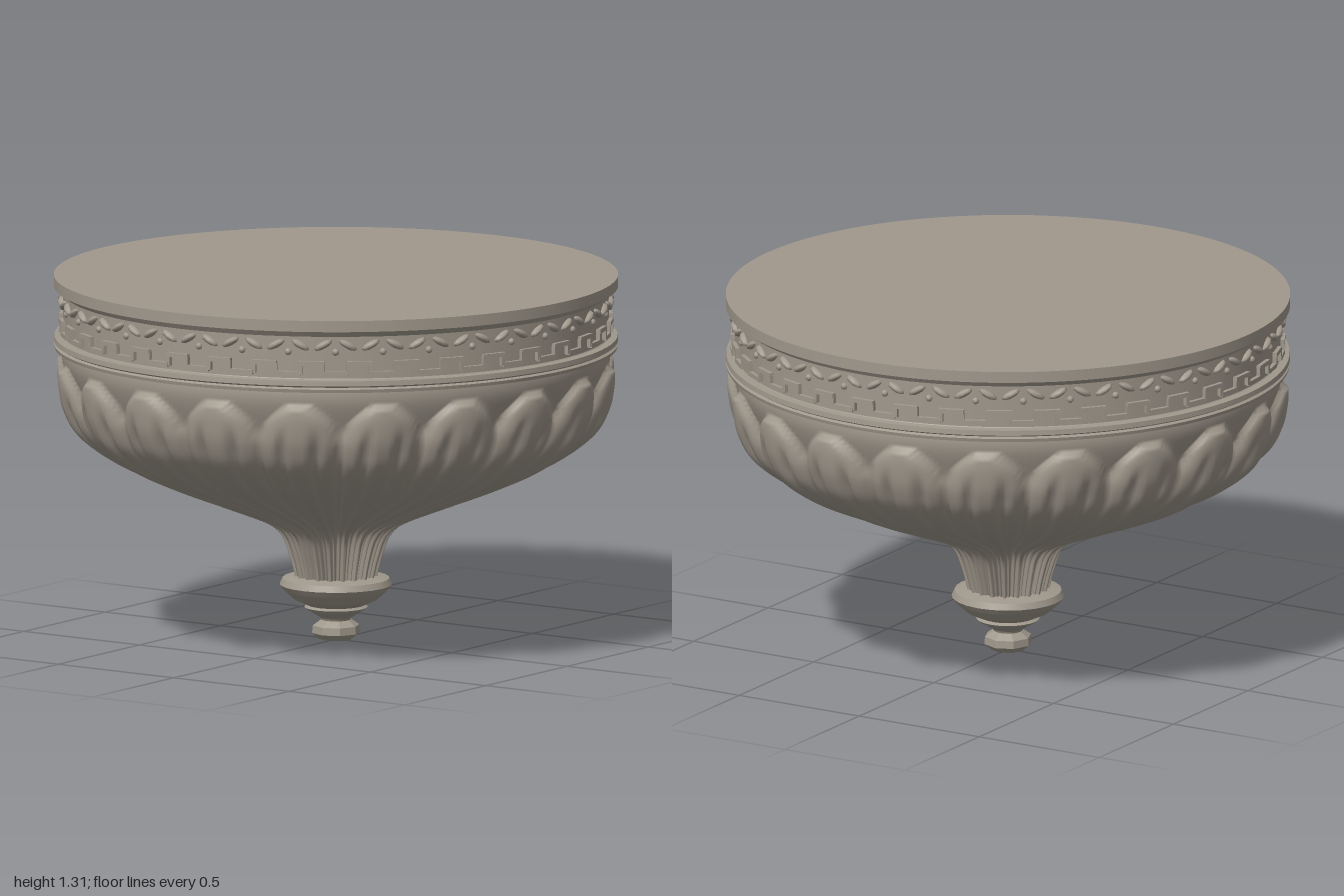
import * as THREE from 'three';
import { mergeGeometries } from 'three/addons/utils/BufferGeometryUtils.js';

const LOBES = 20;
const stone = new THREE.MeshStandardMaterial({ color: 0xa0988c });
stone.name = 'stone';

const v2 = (list) => list.map(([x, y]) => new THREE.Vector2(x, y));
const smooth = THREE.MathUtils.smoothstep;

function add(group, name, geometry) {
  const mesh = new THREE.Mesh(geometry, stone);
  mesh.name = name;
  group.add(mesh);
}

// Turned part with crisp edges between the profile points
function turned(points, sides) {
  const bands = [];
  for (let i = 0; i < points.length - 1; i++) {
    bands.push(new THREE.LatheGeometry(v2([points[i], points[i + 1]]), sides));
  }
  return mergeGeometries(bands);
}

// Bowl whose surface swells into round-topped lobes, each with a raised tongue
function lobedBowl() {
  const rows = 56, cols = LOBES * 20;
  const profile = new THREE.SplineCurve(v2([
    [0.145, 0.22], [0.165, 0.3], [0.2, 0.385], [0.27, 0.435], [0.43, 0.5], [0.62, 0.575],
    [0.79, 0.655], [0.92, 0.75], [0.975, 0.84], [0.995, 0.93], [0.995, 1.0], [0.985, 1.06],
  ]));
  const position = [], index = [];
  for (let j = 0; j <= rows; j++) {
    const p = profile.getPoint(j / rows);
    const depth = Math.min(0.06, 0.02 + 0.07 * p.x) * (1 - smooth(p.y, 0.88, 1.06) * 0.75);
    // Half width of the lobe: full below, closing to a round arch at the top
    const k = THREE.MathUtils.clamp((p.y - 0.82) / 0.18, 0, 1);
    const width = 0.97 * Math.sqrt(1 - k * k);
    const tongue = 1 - smooth(p.y, 0.8, 0.94);
    for (let i = 0; i < cols; i++) {
      const a = width > 0.01 ? Math.abs(((i % 20) / 10) - 1) / width : 2;
      let swell = a < 1 ? Math.sqrt(1 - a * a) : 0;
      swell -= 0.5 * tongue * Math.max(0, 1 - Math.abs(a - 0.42) / 0.2);
      const r = p.x - depth * (1 - swell);
      const angle = (i / cols) * Math.PI * 2;
      position.push(r * Math.sin(angle), p.y, r * Math.cos(angle));
      if (j < rows) {
        const n = (i + 1) % cols, b = j * cols;
        index.push(b + i, b + n, b + cols + n, b + i, b + cols + n, b + cols + i);
      }
    }
  }
  const g = new THREE.BufferGeometry();
  g.setAttribute('position', new THREE.Float32BufferAttribute(position, 3));
  g.setIndex(index);
  g.computeVertexNormals();
  return g;
}

// Low relief on the frieze: a stepped meander below, paired curled leaves above
function friezeRelief() {
  const parts = [], repeats = 36, step = (Math.PI * 2) / repeats;
  const place = (g, angle, y) => {
    parts.push(g.translate(0, y, 0.967).rotateY(angle));
  };
  for (let i = 0; i < repeats; i++) {
    const a = i * step;
    place(new THREE.BoxGeometry(0.09, 0.016, 0.03), a, 1.155);
    place(new THREE.BoxGeometry(0.016, 0.04, 0.03), a - 0.04, 1.135);
    place(new THREE.BoxGeometry(0.016, 0.04, 0.03), a + 0.04, 1.135);
    place(new THREE.BoxGeometry(0.09, 0.016, 0.03), a + step / 2, 1.118);
    for (const side of [-1, 1]) {
      const leaf = new THREE.SphereGeometry(1, 8, 6).scale(0.036, 0.013, 0.02).rotateZ(side * 0.5);
      place(leaf, a + side * 0.042, 1.22);
    }
    place(new THREE.SphereGeometry(0.013, 8, 6), a + step / 2, 1.195);
  }
  return mergeGeometries(parts);
}

export function createModel() {
  const model = new THREE.Group();
  model.name = 'lobedPendant';

  // Flat cover and the frieze under it
  add(model, 'topPlate', new THREE.CylinderGeometry(1, 1, 0.04, 96).translate(0, 1.292, 0));
  add(model, 'friezeBand', turned([[0.985, 1.08], [0.968, 1.1], [0.968, 1.25], [0.985, 1.275]], 96));
  add(model, 'friezeRelief', friezeRelief());

  // Double moulding above the bowl
  add(model, 'rimMoulding', turned([
    [0.96, 1.05], [0.997, 1.053], [1, 1.065], [0.99, 1.071], [1, 1.077], [0.998, 1.095], [0.96, 1.098],
  ], 96));

  add(model, 'lobedBowl', lobedBowl());

  // Collar cup and faceted end knob
  add(model, 'collar', turned([
    [0, 0.105], [0.1, 0.107], [0.113, 0.118], [0.1, 0.125], [0.15, 0.148], [0.185, 0.18],
    [0.2, 0.2], [0.19, 0.222], [0.14, 0.232], [0, 0.232],
  ], 24));
  add(model, 'neck', turned([[0.045, 0.06], [0.055, 0.08], [0.1, 0.108]], 16));
  const knob = turned([
    [0, 0], [0.06, 0.003], [0.086, 0.025], [0.084, 0.052], [0.055, 0.072], [0, 0.075],
  ], 8).toNonIndexed();
  knob.computeVertexNormals();
  add(model, 'endKnob', knob);

  return model;
}
